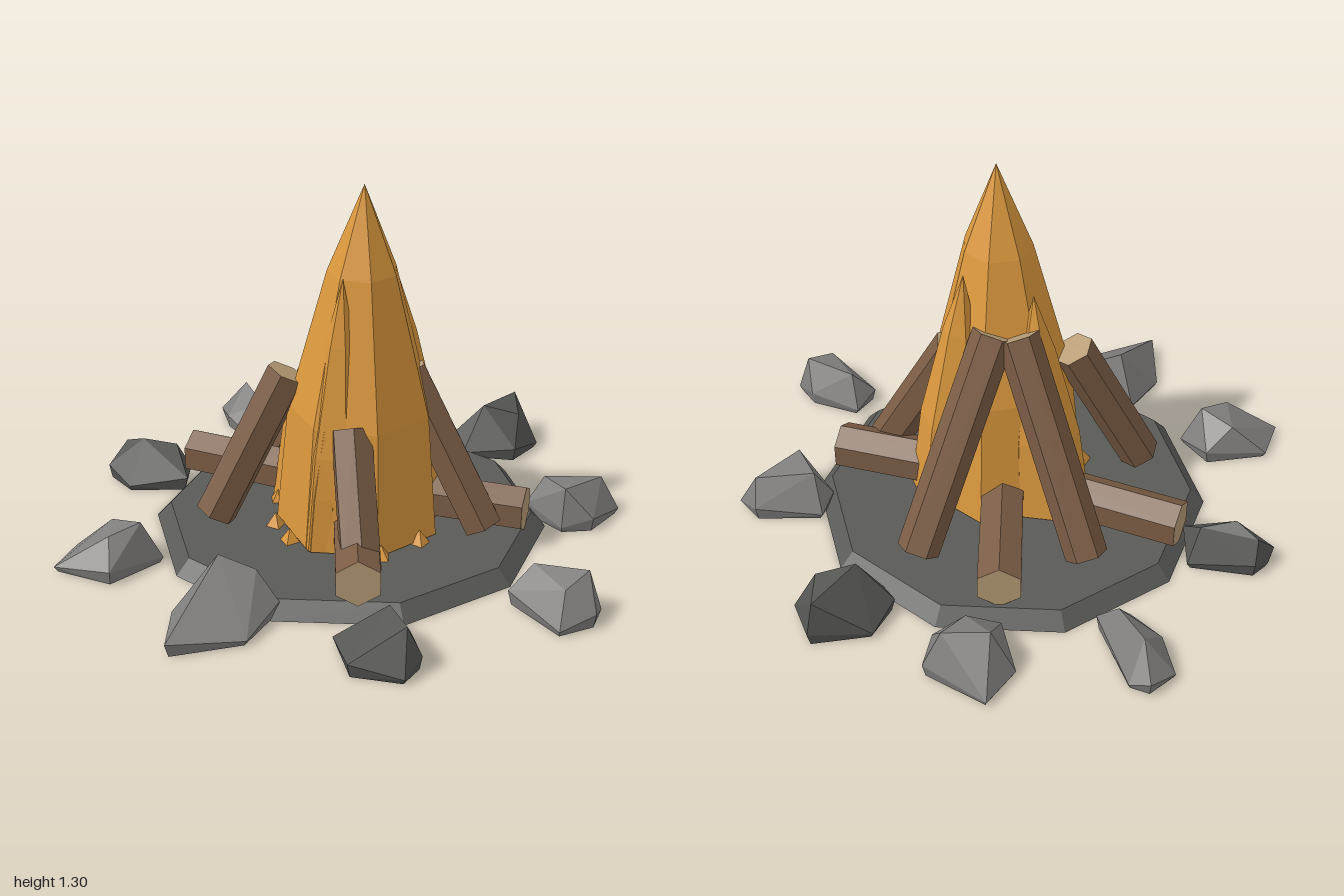
import * as THREE from 'three';
import { ConvexGeometry } from 'three/addons/geometries/ConvexGeometry.js';

const mat = (name, color, extra = {}) => {
  const m = new THREE.MeshStandardMaterial({ color, ...extra });
  m.name = name;
  return m;
};

export function createModel() {
  const root = new THREE.Group();
  root.name = 'campfire';
  const ash = mat('ash', 0x5a5b57);
  const darkStone = mat('dark stone', 0x565753);
  const greyStone = mat('grey stone', 0x817f7d);
  const bark = mat('bark', 0x7b5d45);
  const cutWood = mat('cut wood', 0xb89d76);
  const fire = mat('fire', 0xdc993e);

  const add = (parent, name, geometry, material) => {
    const flat = geometry.index ? geometry.toNonIndexed() : geometry;
    flat.computeVertexNormals();
    const mesh = new THREE.Mesh(flat, material);
    mesh.name = name;
    parent.add(mesh);
    return mesh;
  };
  const group = (name) => {
    const g = new THREE.Group();
    g.name = name;
    root.add(g);
    return g;
  };

  // Ten-sided ash bed
  const bed = add(root, 'ashBed', new THREE.CylinderGeometry(0.64, 0.69, 0.055, 10), ash);
  bed.position.set(-0.05, 0.0275, -0.02);
  bed.rotation.y = Math.PI / 2;

  // Six-sided logs running from one point to another, with a ridge on top
  const log = (parent, name, from, to, r) => {
    const a = new THREE.Vector3(...from), b = new THREE.Vector3(...to);
    const along = b.clone().sub(a), length = along.length();
    along.normalize();
    const ridge = new THREE.Vector3(0, 1, 0).addScaledVector(along, -along.y).normalize();
    const side = along.clone().cross(ridge);
    const mesh = add(parent, name, new THREE.CylinderGeometry(r, r, length, 6), [bark, cutWood, cutWood]);
    mesh.quaternion.setFromRotationMatrix(new THREE.Matrix4().makeBasis(side, along, ridge));
    mesh.position.copy(a).lerp(b, 0.5);
  };
  const leaning = group('leaningLogs');
  [
    [[-0.045, 0.09, -0.51], [-0.04, 0.76, -0.1]],
    [[-0.5, 0.09, -0.17], [-0.11, 0.76, -0.06]],
    [[-0.335, 0.1, 0.365], [-0.175, 0.61, 0.16]],
    [[0.42, 0.09, -0.165], [0.14, 0.62, -0.09]],
    [[0.31, 0.11, 0.36], [0.13, 0.5, 0.19]],
  ].forEach(([from, to]) => log(leaning, 'leaningLog', from, to, 0.073));
  const lying = group('lyingLogs');
  [
    [[0, 0.14, 0.02], [0.38, 0.14, 0.46]],
    [[0.05, 0.13, -0.11], [0.505, 0.125, -0.3]],
    [[-0.05, 0.13, -0.06], [-0.395, 0.13, -0.505]],
    [[-0.1, 0.13, -0.05], [-0.68, 0.13, 0.12]],
  ].forEach(([from, to]) => log(lying, 'lyingLog', from, to, 0.083));

  // Faceted flames: a tapering lathe sheared towards its tip
  const flames = group('flames');
  const flame = (name, [bx, bz], r, [tx, ty, tz], sides) => {
    const y0 = 0.06, h = ty - y0;
    const profile = [[0, 0], [1, 0], [0.86, 0.36], [0.41, 0.76], [0, 1]];
    const geo = new THREE.LatheGeometry(profile.map(([w, t]) => new THREE.Vector2(w * r, t * h)), sides);
    const p = geo.attributes.position;
    for (let i = 0; i < p.count; i++) {
      const t = p.getY(i) / h;
      p.setXYZ(i, p.getX(i) + bx + (tx - bx) * t, p.getY(i) + y0, p.getZ(i) + bz + (tz - bz) * t);
    }
    add(flames, name, geo, fire);
  };
  flame('mainFlame', [0.02, 0.01], 0.29, [0.07, 1.3, 0.05], 7);
  flame('frontFlame', [0.04, 0.19], 0.12, [0.08, 1.02, 0.17], 6);
  flame('backFlame', [0.11, -0.16], 0.14, [0.07, 0.96, -0.12], 6);
  flame('sideFlame', [-0.19, 0.01], 0.15, [-0.12, 0.89, 0.01], 6);
  flame('smallFlame', [0.05, 0.25], 0.06, [0.08, 0.61, 0.24], 5);

  // Little embers around the foot of the fire
  const embers = group('embers');
  [[-0.28, 0.1], [-0.17, 0.24], [-0.06, 0.29], [0.25, 0.18], [0.29, 0.02], [0.04, -0.29], [-0.2, -0.2]].forEach(([x, z], i) => {
    const e = add(embers, 'ember', new THREE.ConeGeometry(0.035, 0.05, 4), fire);
    e.position.set(x, 0.08, z);
    e.rotation.y = i;
  });

  // Ring of stones: a foot outline [x, z] and a few crown points [x, y, z]
  const stones = group('stones');
  const stone = (material, outline, crown) => {
    const pts = crown.map((c) => new THREE.Vector3(...c));
    const cx = outline.reduce((s, o) => s + o[0], 0) / outline.length;
    const cz = outline.reduce((s, o) => s + o[1], 0) / outline.length;
    outline.forEach(([x, z], i) => {
      pts.push(new THREE.Vector3(x, i % 2 ? 0.05 : 0.02, z));
      pts.push(new THREE.Vector3(cx + (x - cx) * 0.93, 0, cz + (z - cz) * 0.93));
    });
    add(stones, 'stone', new ConvexGeometry(pts), material);
  };
  stone(darkStone, [[-0.14, -0.84], [0, -1], [0.15, -0.91], [0.15, -0.76], [-0.02, -0.66], [-0.11, -0.7]],
    [[0, 0.17, -0.97], [0, 0.19, -0.76], [0.1, 0.15, -0.85]]);
  stone(greyStone, [[0.38, -0.54], [0.56, -0.69], [0.66, -0.67], [0.66, -0.5], [0.58, -0.42], [0.41, -0.45]],
    [[0.45, 0.15, -0.5], [0.6, 0.14, -0.64], [0.57, 0.16, -0.45]]);
  stone(greyStone, [[0.68, -0.04], [0.86, -0.1], [0.96, -0.07], [0.99, 0.01], [0.93, 0.13], [0.69, 0.07]],
    [[0.74, 0.14, 0], [0.92, 0.16, -0.05], [0.9, 0.13, 0.06]]);
  stone(darkStone, [[0.39, 0.6], [0.45, 0.43], [0.56, 0.42], [0.7, 0.54], [0.71, 0.64], [0.55, 0.72]],
    [[0.54, 0.15, 0.5], [0.67, 0.165, 0.58]]);
  stone(greyStone, [[-0.11, 0.64], [0.16, 0.59], [0.2, 0.79], [0.05, 1], [-0.1, 0.82]],
    [[-0.02, 0.2, 0.68], [0.08, 0.15, 0.61]]);
  stone(greyStone, [[-0.65, 0.73], [-0.5, 0.56], [-0.36, 0.6], [-0.39, 0.82], [-0.6, 0.88]],
    [[-0.54, 0.13, 0.66], [-0.41, 0.16, 0.65], [-0.45, 0.14, 0.76]]);
  stone(darkStone, [[-0.96, 0.25], [-0.95, 0.18], [-0.75, 0.07], [-0.65, 0.19], [-0.81, 0.33], [-0.95, 0.3]],
    [[-0.84, 0.165, 0.22], [-0.75, 0.14, 0.14], [-0.93, 0.13, 0.22]]);
  stone(greyStone, [[-1, -0.36], [-0.98, -0.47], [-0.91, -0.49], [-0.67, -0.34], [-0.74, -0.24], [-0.89, -0.28]],
    [[-0.9, 0.15, -0.4], [-0.75, 0.13, -0.33]]);
  stone(greyStone, [[-0.61, -0.83], [-0.37, -0.86], [-0.29, -0.72], [-0.45, -0.56], [-0.6, -0.67]],
    [[-0.52, 0.17, -0.7], [-0.4, 0.17, -0.8], [-0.4, 0.15, -0.68]]);

  return root;
}
